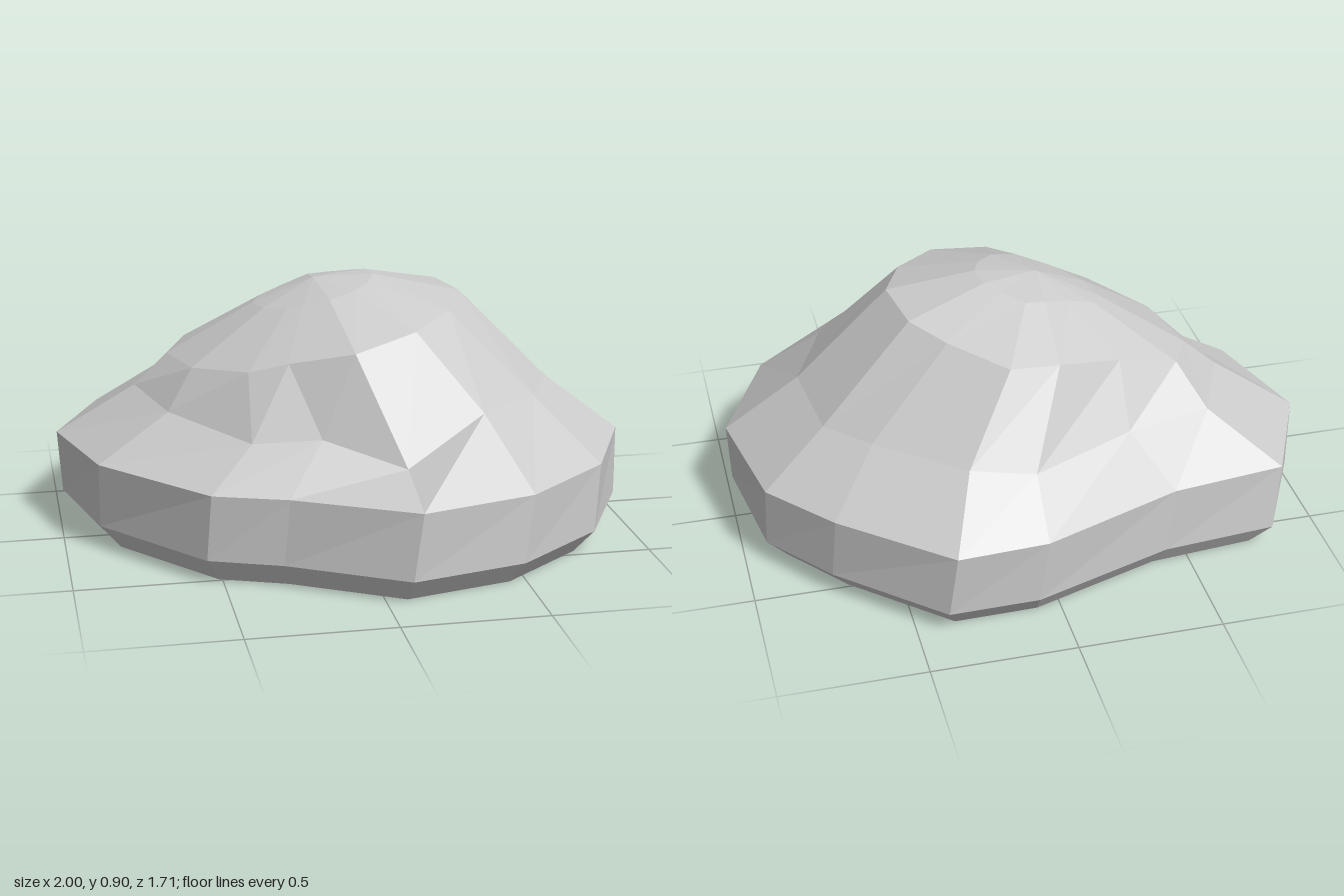
import * as THREE from 'three';

// Outline of the boulder's rim, [x, z], running from +x towards +z
const RIM = [
  [1.0, 0.09], [0.82, 0.48], [0.51, 0.74], [0.11, 0.85], [-0.29, 0.64], [-0.54, 0.555], [-0.88, 0.165],
  [-1.0, -0.24], [-0.83, -0.61], [-0.43, -0.66], [0.06, -0.84], [0.37, -0.855], [0.72, -0.56], [0.92, -0.33],
];

// Foot of the dome, [x, y, z]
const FOOT = [
  [0.74, 0.52, 0.05], [0.62, 0.53, 0.31], [0.39, 0.54, 0.52], [0.11, 0.39, 0.61], [-0.15, 0.46, 0.46],
  [-0.38, 0.44, 0.40], [-0.63, 0.48, 0.11], [-0.72, 0.5, -0.18], [-0.6, 0.5, -0.46], [-0.3, 0.5, -0.53],
  [0.06, 0.48, -0.67], [0.28, 0.51, -0.64], [0.56, 0.51, -0.41], [0.7, 0.5, -0.25],
];

// Shoulder of the dome, [x, y, z]
const SHOULDER = [
  [0.42, 0.845, 0.02], [0.34, 0.82, 0.21], [0.19, 0.79, 0.36], [-0.03, 0.74, 0.42], [-0.24, 0.69, 0.32],
  [-0.37, 0.65, 0.26], [-0.54, 0.62, 0.06], [-0.6, 0.61, -0.19], [-0.52, 0.63, -0.34], [-0.3, 0.7, -0.39],
  [-0.07, 0.76, -0.465], [0.1, 0.77, -0.47], [0.28, 0.81, -0.32], [0.385, 0.84, -0.2],
];

const APEX = [-0.09, 0.895, -0.06];

// Rim outline scaled and slightly twisted at a given height
function rimRing(y, scale, twist) {
  const c = Math.cos(twist) * scale, s = Math.sin(twist) * scale;
  return RIM.map(([x, z]) => [x * c - z * s, y, x * s + z * c]);
}

// Shoulder drawn in towards the apex, with its tilt flattened
function crownRing(spread, top, tilt) {
  return SHOULDER.map(([x, y, z]) => [
    APEX[0] + (x - APEX[0]) * spread,
    top - tilt * (0.845 - y),
    APEX[2] + (z - APEX[2]) * spread,
  ]);
}

// Skin a stack of rings from bottom to top and close both ends
function loft(rings, bottom, top) {
  const pos = [];
  const tri = (a, b, c) => pos.push(...a, ...b, ...c);
  const n = rings[0].length;
  const last = rings[rings.length - 1];
  for (let i = 0; i < n; i++) {
    const j = (i + 1) % n;
    for (let r = 0; r < rings.length - 1; r++) {
      const lo = rings[r], hi = rings[r + 1];
      tri(lo[i], hi[i], lo[j]);
      tri(lo[j], hi[i], hi[j]);
    }
    tri(bottom, rings[0][i], rings[0][j]);
    tri(top, last[j], last[i]);
  }
  const geo = new THREE.BufferGeometry();
  geo.setAttribute('position', new THREE.Float32BufferAttribute(pos, 3));
  geo.computeVertexNormals();
  return geo;
}

export function createModel() {
  const group = new THREE.Group();
  group.name = 'rock';
  const material = new THREE.MeshStandardMaterial({ color: 0xcccccc, flatShading: true });

  const boulder = new THREE.Mesh(loft([
    rimRing(0, 0.915, 0.035),    // chamfered underside
    rimRing(0.085, 0.993, 0.035),
    rimRing(0.32, 1, 0),         // upright rim
    FOOT,
    SHOULDER,
    crownRing(0.41, 0.905, 0.45), // rounded crown
    crownRing(0.15, 0.9, 0.17),
  ], [0, 0, 0], APEX), material);
  boulder.name = 'boulder';
  group.add(boulder);
  return group;
}
